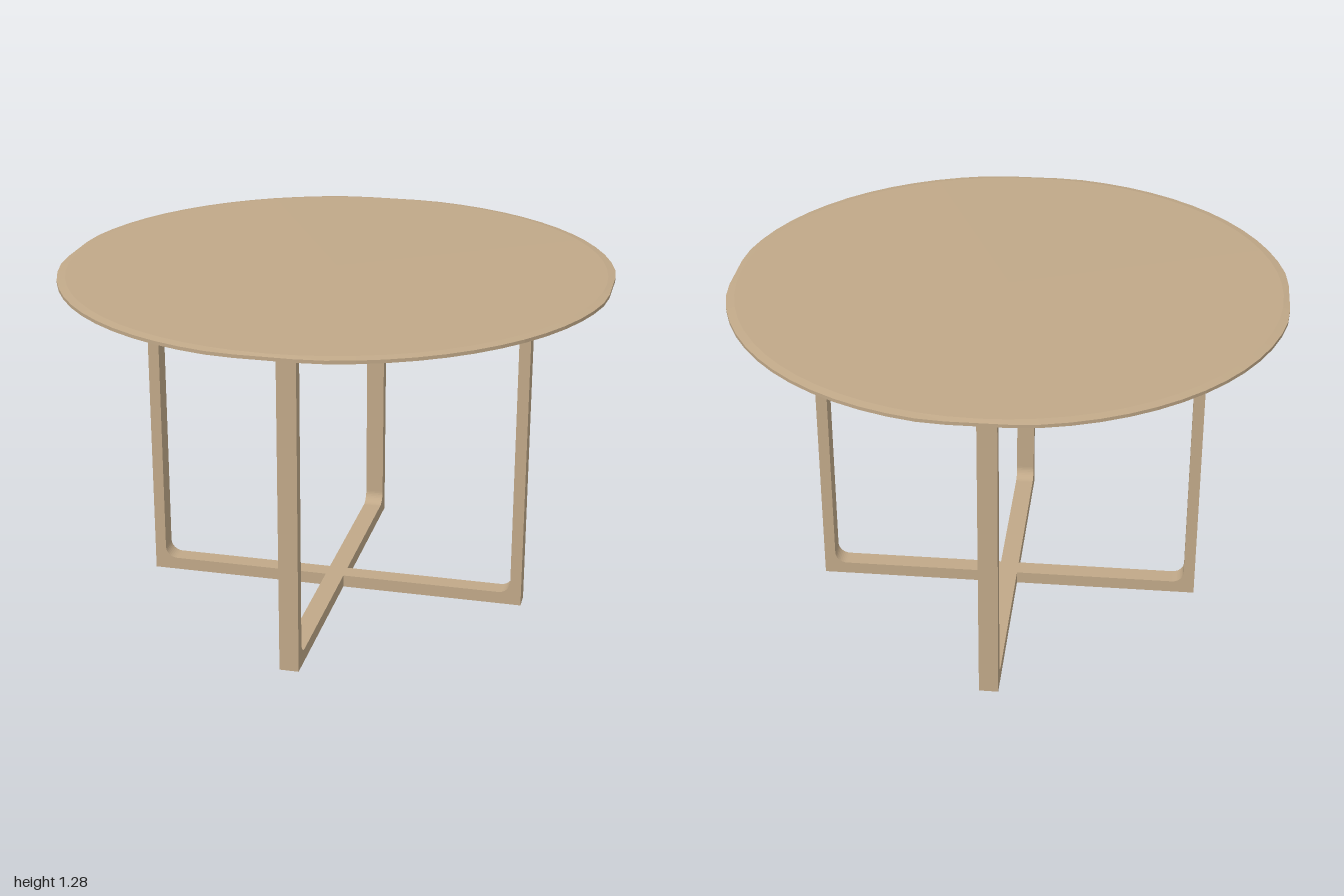
import * as THREE from 'three';

const wood = new THREE.MeshStandardMaterial({ color: 0xc0a888, flatShading: true });

// Rectangular loop frame: square outside, rounded corners inside
function makeFrame(name, top) {
  const w = 0.725, bottom = 0.008, depth = 0.07;
  const shape = new THREE.Shape([[-w, bottom], [w, bottom], [w, top], [-w, top]]
    .map(([x, y]) => new THREE.Vector2(x, y)));

  const x = 0.683, y0 = 0.055, y1 = 1.216, r = 0.045;
  const hole = new THREE.Path();
  hole.moveTo(-x + r, y0);
  hole.lineTo(x - r, y0);
  hole.absarc(x - r, y0 + r, r, -Math.PI / 2, 0);
  hole.absarc(x - r, y1 - r, r, 0, Math.PI / 2);
  hole.absarc(-x + r, y1 - r, r, Math.PI / 2, Math.PI);
  hole.absarc(-x + r, y0 + r, r, Math.PI, Math.PI * 1.5);
  shape.holes.push(hole);

  const geo = new THREE.ExtrudeGeometry(shape, { depth, bevelEnabled: false, curveSegments: 5 });
  geo.translate(0, 0, -depth / 2);
  const mesh = new THREE.Mesh(geo, wood);
  mesh.name = name;
  return mesh;
}

// Thin round top with softened rim, slightly flattened on the four sides
function makeTop() {
  const profile = [[0, 1.266], [0.97, 1.266], [1.01, 1.271], [1.01, 1.283], [0.98, 1.288], [0, 1.29]]
    .map(([r, y]) => new THREE.Vector2(r, y));
  const geo = new THREE.LatheGeometry(profile, 64);
  const p = geo.attributes.position;
  for (let i = 0; i < p.count; i++) {
    p.setX(i, THREE.MathUtils.clamp(p.getX(i), -1, 1));
    p.setZ(i, THREE.MathUtils.clamp(p.getZ(i), -1, 1));
  }
  geo.computeVertexNormals();
  const mesh = new THREE.Mesh(geo, wood);
  mesh.name = 'tableTop';
  return mesh;
}

export function createModel() {
  const group = new THREE.Group();
  group.name = 'roundTable';

  // Two frames crossing at right angles
  const sideFrame = makeFrame('sideToSideFrame', 1.243);
  const depthFrame = makeFrame('frontToBackFrame', 1.246);
  depthFrame.rotation.y = Math.PI / 2;

  group.add(makeTop(), sideFrame, depthFrame);
  return group;
}
